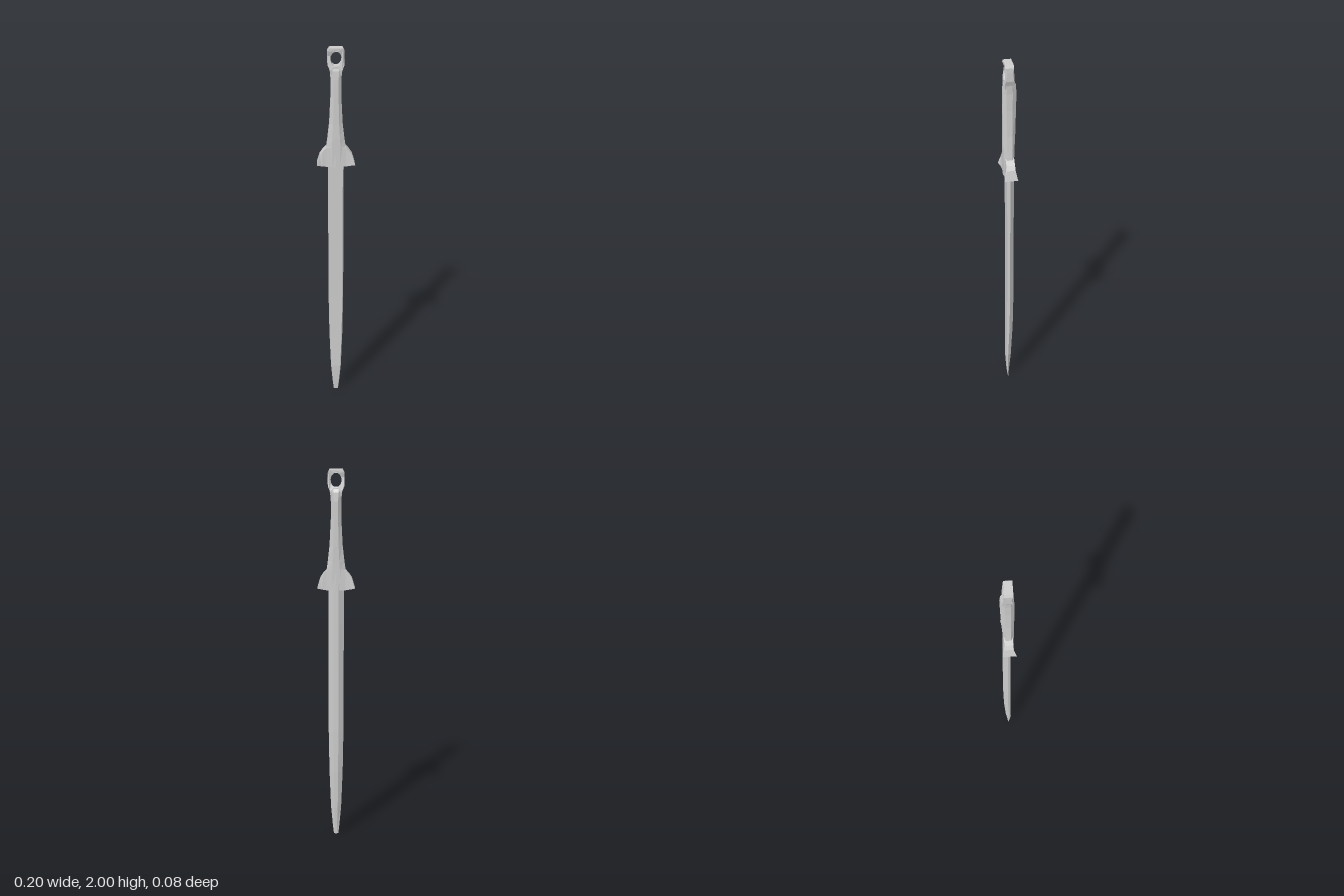
import * as THREE from 'three';

const material = new THREE.MeshStandardMaterial({ color: 0xcccccc, flatShading: true });

// Skin a list of equal-length rings and close both ends
function loft(name, rings) {
  const n = rings[0].length, index = [], last = (rings.length - 1) * n;
  for (let i = 0; i < rings.length - 1; i++) {
    for (let j = 0; j < n; j++) {
      const a = i * n + j, b = i * n + (j + 1) % n;
      index.push(a, b, b + n, a, b + n, a + n);
    }
  }
  for (let k = 1; k < n - 1; k++) {
    index.push(0, k + 1, k, last, last + k, last + k + 1);
  }
  const geometry = new THREE.BufferGeometry();
  geometry.setAttribute('position', new THREE.Float32BufferAttribute(rings.flat(2), 3));
  geometry.setIndex(index);
  return finish(name, geometry);
}

function finish(name, geometry) {
  const flat = geometry.index ? geometry.toNonIndexed() : geometry;
  flat.computeVertexNormals();
  const mesh = new THREE.Mesh(flat, material);
  mesh.name = name;
  return mesh;
}

// Mirror a half profile of [x, z] (front to back) into a full ring at height y
function ring(y, half) {
  const right = half.map(([x, z]) => [x, y, z]);
  const left = half.map(([x, z]) => [-x, y, z]).reverse();
  return [...right, ...left];
}

// Blade: flat front, sharp sides, bevels rising to a flat spine at the back
function blade() {
  // y, half width, front z, edge z, spine z
  const stations = [
    [0, 0.012, 0.004, 0.002, 0],
    [0.05, 0.018, 0.009, 0.005, -0.003],
    [0.16, 0.028, 0.016, 0.006, -0.013],
    [0.37, 0.036, 0.013, 0, -0.023],
    [0.6, 0.04, 0.012, -0.003, -0.027],
    [1.2, 0.041, 0.012, -0.003, -0.027],
    [1.4, 0.041, 0.012, -0.003, -0.027],
  ];
  return loft('blade', stations.map(([y, w, front, edge, spine]) =>
    ring(y, [[w * 0.86, front], [w, edge], [w * 0.32, spine]])));
}

// Grip: eight-sided, waisted, with a fuller back
function grip() {
  // y, half width, front z, back z
  const stations = [
    [1.38, 0.048, 0.026, -0.024],
    [1.48, 0.05, 0.028, -0.027],
    [1.53, 0.043, 0.029, -0.029],
    [1.61, 0.034, 0.029, -0.033],
    [1.75, 0.027, 0.03, -0.037],
    [1.84, 0.027, 0.029, -0.039],
    [1.885, 0.031, 0.026, -0.035],
    [1.91, 0.034, 0.018, -0.02],
  ];
  return loft('grip', stations.map(([y, w, front, back]) =>
    ring(y, [[w * 0.45, front], [w, front * 0.45], [w, back * 0.45], [w * 0.4, back]])));
}

// Guard: two drooping wings that flare at the ends
function guard() {
  const section = (xLow, yLow, front, back, xHigh, yHigh, zHigh) => [
    [xLow, yLow, back], [xHigh, yHigh, -zHigh], [xHigh, yHigh, zHigh], [xLow, yLow, front],
  ];
  const half = [
    [0, 1.375, 0.028, -0.026, 0, 1.49, 0.027],
    [0.05, 1.377, 0.023, -0.022, 0.05, 1.482, 0.022],
    [0.075, 1.382, 0.027, -0.026, 0.068, 1.462, 0.022],
    [0.098, 1.388, 0.037, -0.033, 0.083, 1.44, 0.022],
  ];
  const mirrored = half.slice(1).reverse().map((s) => s.map((v, i) => (i === 0 || i === 4 ? -v : v)));
  return loft('guard', [...mirrored, ...half].map((s) => section(...s)));
}

// Pommel: a frame around an oval eye, pinched in depth at the middle
function pommel() {
  const side = [
    [0.026, 1.865], [0.032, 1.89], [0.042, 1.915], [0.043, 1.96],
    [0.042, 1.985], [0.034, 2],
  ];
  const outline = [...side, ...side.map(([x, y]) => [-x, y]).reverse()];
  const shape = new THREE.Shape(outline.map(([x, y]) => new THREE.Vector2(x, y)));
  const eye = new THREE.Path();
  eye.absellipse(0, 1.945, 0.028, 0.038, 0, Math.PI * 2, true);
  shape.holes.push(eye);
  const geometry = new THREE.ExtrudeGeometry(shape, { depth: 1, bevelEnabled: false, curveSegments: 8 });

  // y, front z, back z
  const depth = [
    [1.86, 0.02, -0.024], [1.9, 0.024, -0.028], [1.925, 0.017, -0.018],
    [1.96, 0.013, -0.014], [1.985, 0.022, -0.021], [2, 0.022, -0.02],
  ];
  const p = geometry.attributes.position;
  for (let i = 0; i < p.count; i++) {
    const y = p.getY(i);
    let k = 1;
    while (k < depth.length - 1 && y > depth[k][0]) k++;
    const a = depth[k - 1], b = depth[k], t = (y - a[0]) / (b[0] - a[0]);
    const column = p.getZ(i) > 0.5 ? 1 : 2;
    p.setZ(i, THREE.MathUtils.lerp(a[column], b[column], t));
  }
  return finish('pommel', geometry);
}

export function createModel() {
  const sword = new THREE.Group();
  sword.name = 'sword';
  sword.add(blade(), guard(), grip(), pommel());
  return sword;
}
